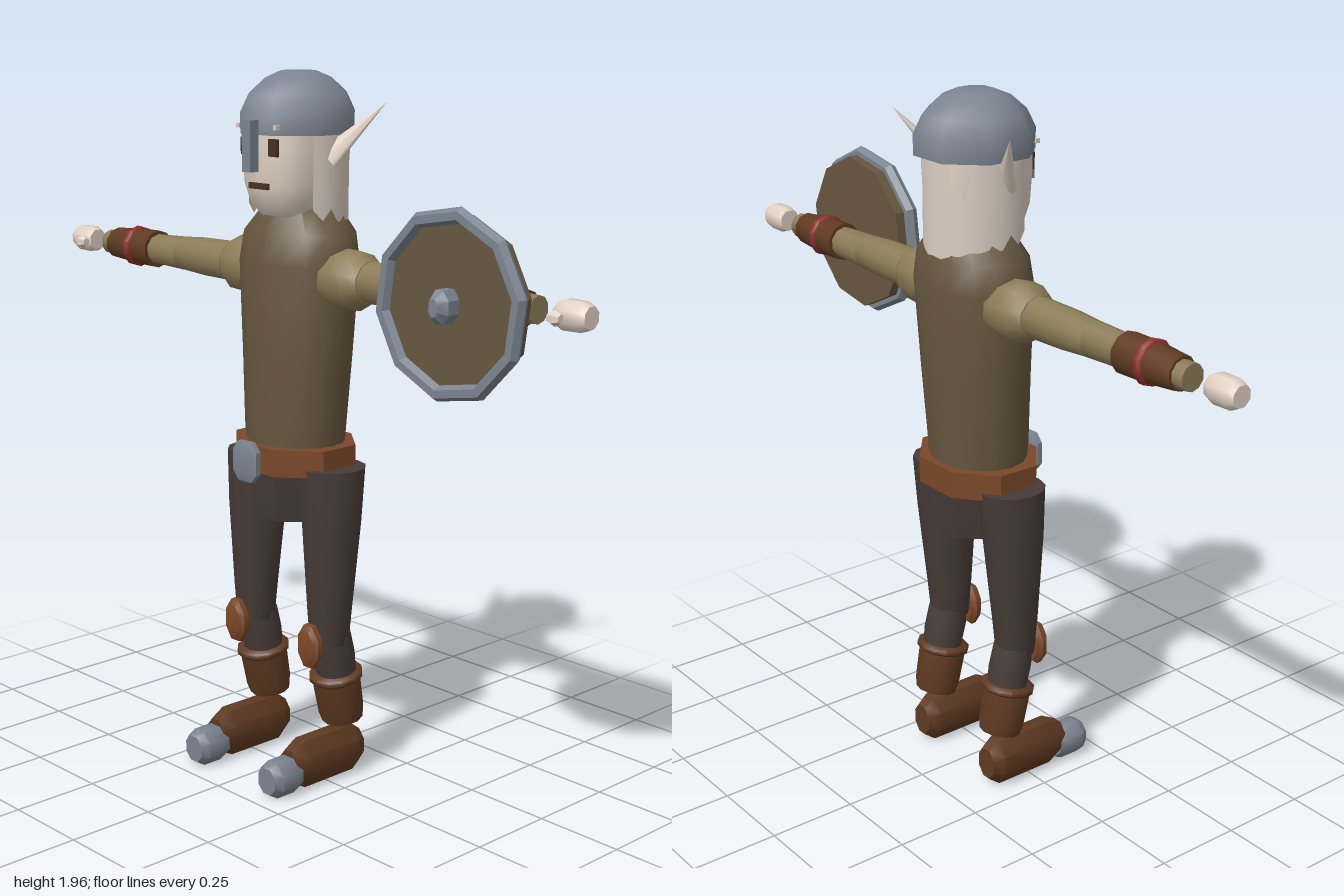
import * as THREE from 'three';
import { toCreasedNormals } from 'three/addons/utils/BufferGeometryUtils.js';

const mat = (name, color, side = THREE.FrontSide) => {
  const m = new THREE.MeshStandardMaterial({ color, side });
  m.name = name;
  return m;
};

// Closed skin over rings [y, rx, rz, cx, cz]; power > 2 squares the section off,
// flat turns a face (not a corner) to the front.
function loft(rows, { n = 12, power = 2, flat = false, crease = 0.9 } = {}) {
  const pos = [], idx = [];
  const shape = v => Math.sign(v) * Math.pow(Math.abs(v), 2 / power);
  const grow = flat ? 1 / Math.cos(Math.PI / n) : 1;
  for (const [y, rx, rz, cx = 0, cz = 0] of rows) {
    for (let i = 0; i < n; i++) {
      const a = (i + (flat ? 0.5 : 0)) / n * Math.PI * 2;
      pos.push(cx + rx * grow * shape(Math.cos(a)), y, cz + rz * grow * shape(Math.sin(a)));
    }
  }
  for (let r = 0; r < rows.length - 1; r++) {
    for (let i = 0; i < n; i++) {
      const p = r * n + i, q = r * n + (i + 1) % n;
      idx.push(p, p + n, q, q, p + n, q + n);
    }
  }
  const last = rows.length - 1, bottom = rows.length * n, top = bottom + 1;
  for (const r of [0, last]) pos.push(rows[r][3] || 0, rows[r][0], rows[r][4] || 0);
  for (let i = 0; i < n; i++) {
    const j = (i + 1) % n;
    idx.push(bottom, i, j, top, last * n + j, last * n + i);
  }
  const g = new THREE.BufferGeometry();
  g.setAttribute('position', new THREE.Float32BufferAttribute(pos, 3));
  g.setIndex(idx);
  return toCreasedNormals(g, crease);
}

export function createModel() {
  const root = new THREE.Group();
  root.name = 'shieldBearer';
  const steel = mat('steel', 0x7b8490), skin = mat('skin', 0xe2d2c4);
  const hair = mat('paleHair', 0xd9cdc2, THREE.DoubleSide), tunic = mat('tunicBrown', 0x66563f);
  const sleeve = mat('sleeveTan', 0x8b7c57), trousers = mat('trouserBrown', 0x463b37);
  const leather = mat('leather', 0x7a4728), boot = mat('bootBrown', 0x5f3a22);
  const red = mat('redBand', 0x8a2f2b), dark = mat('darkBrown', 0x46301f);

  const add = (name, geo, material, x = 0, y = 0, z = 0) => {
    const m = new THREE.Mesh(geo, material);
    m.name = name;
    m.position.set(x, y, z);
    root.add(m);
    return m;
  };
  const box = (w, h, d) => new THREE.BoxGeometry(w, h, d);

  // Body
  add('tunic', loft([
    [0.92, 0.145, 0.125, 0, -0.045], [1.0, 0.152, 0.13, 0, -0.045],
    [1.2, 0.168, 0.135, 0, -0.052], [1.45, 0.186, 0.143, 0, -0.058],
    [1.53, 0.174, 0.132, 0, -0.06], [1.6, 0.105, 0.1, 0, -0.065]
  ], { n: 16 }), tunic);
  add('pelvis', loft([
    [0.74, 0.105, 0.11, 0, -0.045], [0.88, 0.13, 0.128, 0, -0.042], [0.93, 0.135, 0.13, 0, -0.042]
  ], { n: 8, flat: true, crease: 0.6 }), trousers);
  add('belt', loft([[0.88, 0.177, 0.147, 0, -0.043], [0.955, 0.177, 0.147, 0, -0.043]],
    { n: 8, flat: true, crease: 0.5 }), leather);
  add('buckle', loft([[-0.013, 0.035, 0.043], [-0.008, 0.046, 0.054], [0.008, 0.046, 0.054], [0.013, 0.035, 0.043]],
    { n: 8, flat: true, power: 3, crease: 0.5 }).rotateX(Math.PI / 2), steel, 0, 0.917, 0.137);

  // Head and face
  add('head', loft([
    [1.57, 0.075, 0.09, 0, -0.05], [1.61, 0.1, 0.12, 0, -0.048], [1.66, 0.113, 0.133, 0, -0.046],
    [1.75, 0.12, 0.137, 0, -0.046], [1.85, 0.12, 0.137, 0, -0.046]
  ], { n: 16, power: 3 }), skin);
  add('mouth', box(0.075, 0.016, 0.008), dark, 0, 1.66, 0.089);

  // Hair hanging round the sides and back, with a ragged hem
  const hairGeo = new THREE.CylinderGeometry(0.14, 0.14, 1, 20, 1, true, Math.PI * 0.36, Math.PI * 1.28);
  const hp = hairGeo.attributes.position;
  for (let i = 0; i < hp.count; i++) {
    const back = Math.max(0, -hp.getZ(i) / 0.14);
    const hem = 1.58 - 0.06 * back + (i % 2 ? 0.02 : -0.01);
    hp.setY(i, hp.getY(i) > 0 ? 1.82 : hem);
  }
  hairGeo.computeVertexNormals();
  add('hair', hairGeo, hair, 0, 0, -0.048);

  // Helmet with nose guard and rivets
  add('helmet', loft([
    [1.795, 0.147, 0.152, 0, -0.052], [1.85, 0.148, 0.153, 0, -0.052], [1.9, 0.125, 0.13, 0, -0.052],
    [1.938, 0.085, 0.09, 0, -0.052], [1.957, 0.045, 0.047, 0, -0.052]
  ], { n: 8, flat: true, crease: 0.9 }), steel);
  add('noseGuard', box(0.032, 0.135, 0.03), steel, 0, 1.767, 0.12);

  for (const s of [1, -1]) {
    const side = s > 0 ? 'left' : 'right';
    const along = (rows, opts) => loft(rows, opts).rotateZ(-s * Math.PI / 2);
    const arm = (name, rows, material, opts = { n: 10 }) =>
      add(side + name, along(rows.map(([x, r, rz = r]) => [x, r, rz]), opts), material, 0, 1.417, -0.06);

    add(side + 'Eye', box(0.033, 0.046, 0.009), dark, s * 0.054, 1.763, 0.086);
    add(side + 'Rivet', box(0.012, 0.012, 0.012), hair, s * 0.073, 1.816, 0.094);

    // Pointed ear leaning out and back
    const base = new THREE.Vector3(s * 0.125, 1.735, -0.045), tip = new THREE.Vector3(s * 0.25, 1.882, -0.135);
    const dir = tip.clone().sub(base), len = dir.length();
    const ear = add(side + 'Ear', new THREE.ConeGeometry(0.038, len, 6).translate(0, len / 2, 0).scale(1, 1, 0.45),
      skin, base.x, base.y, base.z);
    ear.quaternion.setFromUnitVectors(new THREE.Vector3(0, 1, 0), dir.normalize());

    // Arm, from the shoulder out to the fist
    arm('Shoulder', [[0.12, 0.07, 0.08], [0.19, 0.082, 0.087], [0.235, 0.08, 0.082], [0.272, 0.058, 0.06]], sleeve);
    arm('UpperArm', [[0.2, 0.058], [0.4, 0.055, 0.053], [0.5, 0.048, 0.046]], sleeve);
    arm('Forearm', [[0.49, 0.049, 0.047], [0.62, 0.044], [0.84, 0.036]], sleeve);
    arm('Bracer', [[0.61, 0.055], [0.7, 0.054], [0.805, 0.045]], boot);
    arm('BracerBand', [[0.688, 0.054], [0.694, 0.06], [0.71, 0.06], [0.717, 0.054]], red);
    arm('Hand', [[0.905, 0.029], [0.925, 0.037], [0.98, 0.036], [1.0, 0.027]], skin, { n: 8, flat: true });
    add(side + 'Thumb', loft([[-0.018, 0.012, 0.012], [0, 0.02, 0.02], [0.018, 0.012, 0.012]], { n: 6 })
      .rotateZ(-s * Math.PI / 2), skin, s * 0.925, 1.412, -0.016);

    // Leg
    const x = s * 0.152;
    add(side + 'Thigh', loft([
      [0.4, 0.056, 0.055, x, -0.032], [0.5, 0.064, 0.064, x, -0.033],
      [0.75, 0.083, 0.085, s * 0.151, -0.04], [0.9, 0.088, 0.095, s * 0.149, -0.045]
    ]), trousers);
    add(side + 'Shin', loft([[0.2, 0.05, 0.05, x, -0.08], [0.36, 0.062, 0.06, x, -0.05], [0.425, 0.055, 0.055, x, -0.04]]),
      trousers);
    add(side + 'KneePad', loft([[-0.018, 0.03, 0.05], [-0.005, 0.041, 0.062], [0.01, 0.04, 0.06], [0.02, 0.028, 0.045]],
      { n: 8, flat: true, crease: 0.6 }).rotateX(Math.PI / 2), leather, x, 0.402, 0.04);

    // Boot cuff, foot and steel toe cap
    const cuff = (name, rows) => {
      const m = add(side + name, loft(rows), boot, x, 0.29, -0.06);
      m.rotation.x = 0.2;
    };
    cuff('BootCuff', [[-0.13, 0.06, 0.058], [-0.1, 0.066, 0.065], [0.012, 0.069, 0.069]]);
    cuff('CuffBand', [[-0.005, 0.071, 0.07], [0, 0.077, 0.076], [0.013, 0.077, 0.076], [0.018, 0.071, 0.07]]);
    add(side + 'Foot', loft([
      [-0.137, 0.034, 0.045], [-0.105, 0.048, 0.068], [0.08, 0.048, 0.068], [0.125, 0.036, 0.046]
    ], { n: 8, flat: true, crease: 0.7 }).rotateX(Math.PI / 2), boot, s * 0.155, 0.07, 0);
    add(side + 'ToeCap', loft([
      [0.105, 0.04, 0.042], [0.125, 0.048, 0.05], [0.185, 0.048, 0.05], [0.207, 0.034, 0.037]
    ], { n: 8, flat: true }).rotateX(Math.PI / 2), steel, s * 0.155, 0.05, 0);
  }

  // Ten-sided shield on the left arm
  const shield = new THREE.Group();
  shield.name = 'shield';
  shield.position.set(0.666, 1.42, 0);
  const tilt = THREE.MathUtils.degToRad(10);
  const part = (name, geo, material) => {
    const m = new THREE.Mesh(toCreasedNormals(geo, 0.5), material);
    m.name = name;
    shield.add(m);
  };
  part('shieldBoard', loft([[0.022, 0.222, 0.222], [0.066, 0.222, 0.222]], { n: 10 })
    .rotateX(Math.PI / 2).rotateZ(tilt), tunic);
  part('shieldRim', new THREE.TorusGeometry(0.225, 0.021, 6, 10).rotateZ(tilt).translate(0, 0, 0.068), steel);
  part('shieldBoss', loft([[0.06, 0.03, 0.042], [0.105, 0.031, 0.042], [0.128, 0.014, 0.022]], { n: 8, flat: true })
    .rotateX(Math.PI / 2), steel);
  root.add(shield);
  return root;
}
